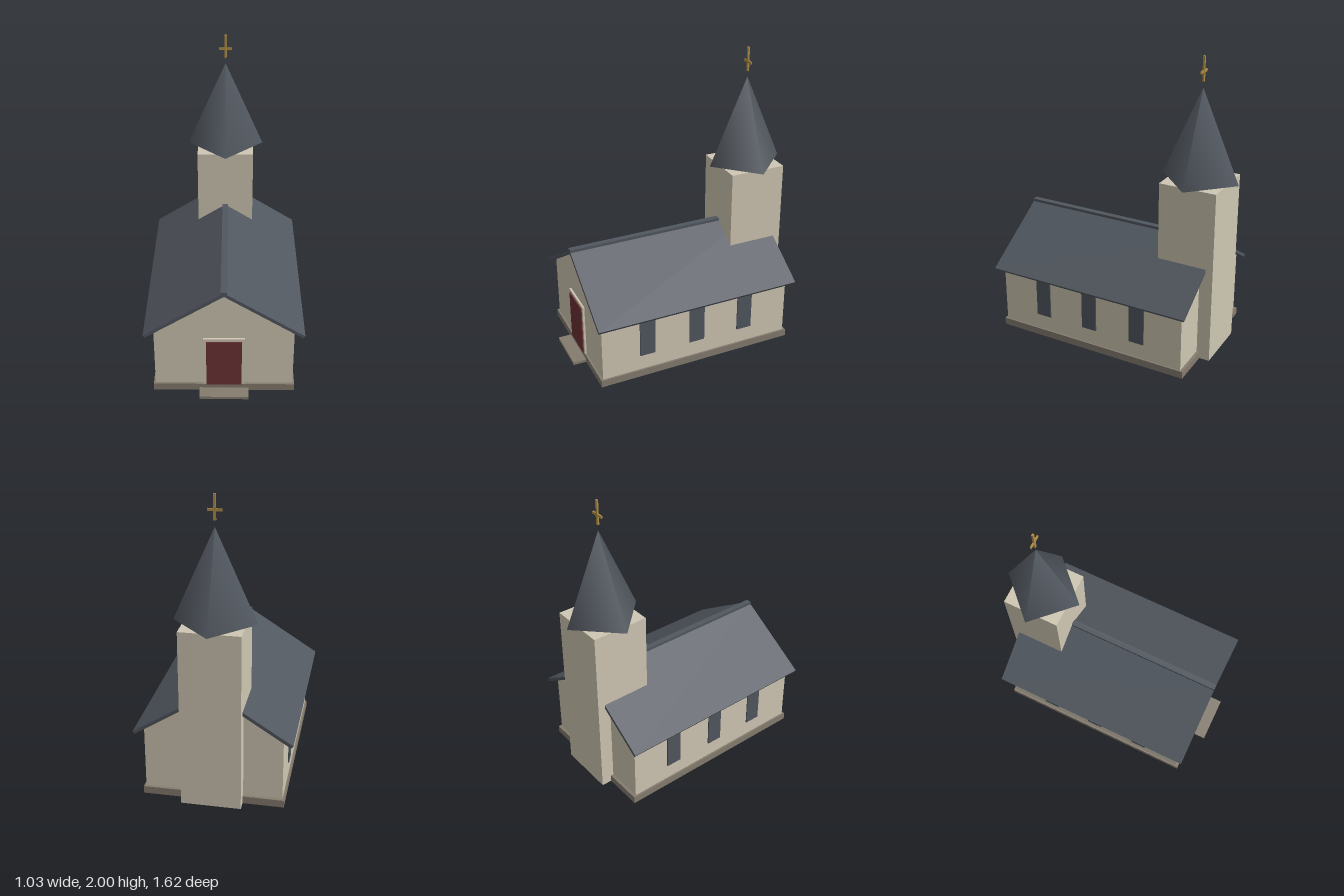
import * as THREE from 'three';

const material = (name, color) => {
  const m = new THREE.MeshStandardMaterial({ color });
  m.name = name;
  return m;
};

export function createModel() {
  const chapel = new THREE.Group();
  chapel.name = 'chapel';

  const plaster = material('cream plaster', 0xcfc7b3);
  const slate = material('dark slate', 0x51575f);
  const stone = material('grey stone', 0x857c6f);
  const red = material('door red', 0x6e3234);
  const gold = material('gold', 0xb08d45);

  const add = (name, geometry, mat) => {
    const mesh = new THREE.Mesh(geometry, mat);
    mesh.name = name;
    chapel.add(mesh);
    return mesh;
  };
  // Box given by its limits on each axis
  const box = (name, mat, [x0, x1], [y0, y1], [z0, z1]) => {
    const mesh = add(name, new THREE.BoxGeometry(x1 - x0, y1 - y0, z1 - z0), mat);
    mesh.position.set((x0 + x1) / 2, (y0 + y1) / 2, (z0 + z1) / 2);
    return mesh;
  };
  // Cross-section in x and y, drawn out along z
  const prism = (name, mat, points, z0, z1) => {
    const shape = new THREE.Shape(points.map(([x, y]) => new THREE.Vector2(x, y)));
    const geometry = new THREE.ExtrudeGeometry(shape, { depth: z1 - z0, bevelEnabled: false });
    add(name, geometry.translate(0, 0, z0), mat);
  };

  // Plinth and doorstep
  box('plinth', stone, [-0.462, 0.462], [0, 0.05], [-0.67, 0.72]);
  box('doorstep', stone, [-0.16, 0.16], [0, 0.02], [0.7, 0.81]);

  // Gabled nave
  prism('nave', plaster,
    [[-0.45, 0.05], [0.45, 0.05], [0.45, 0.481], [0, 0.769], [-0.45, 0.481]], -0.65, 0.705);

  // Pitched roof with ridge cap
  prism('roof', slate,
    [[-0.515, 0.467], [-0.503, 0.449], [0, 0.77], [0.503, 0.449], [0.515, 0.467], [0, 0.796]],
    -0.69, 0.742);
  box('ridgeCap', slate, [-0.02, 0.02], [0.776, 0.802], [-0.69, 0.743]);

  // Door in its surround
  box('doorSurround', plaster, [-0.135, 0.135], [0.05, 0.42], [0.7, 0.718]);
  box('door', red, [-0.115, 0.115], [0.05, 0.4], [0.716, 0.725]);

  // Three windows on each side wall
  for (const side of [-1, 1]) {
    for (const z of [0.387, 0.028, -0.33]) {
      const window = box('window', slate, [-0.0045, 0.0045], [0.16, 0.45], [z - 0.054, z + 0.054]);
      window.position.x = side * 0.453;
    }
  }

  // Tower, with its spire turned to point corners along the axes
  const towerZ = -0.545;
  box('tower', plaster, [-0.195, 0.195], [0.002, 1.2], [towerZ - 0.195, towerZ + 0.195]);
  const spire = add('spire', new THREE.ConeGeometry(0.265, 0.6, 4), slate);
  spire.position.set(0, 1.501, towerZ);

  // Cross above the spire
  box('crossPost', gold, [-0.008, 0.008], [1.84, 2], [towerZ - 0.006, towerZ + 0.006]);
  box('crossBar', gold, [-0.045, 0.045], [1.895, 1.911], [towerZ - 0.005, towerZ + 0.005]);

  return chapel;
}
